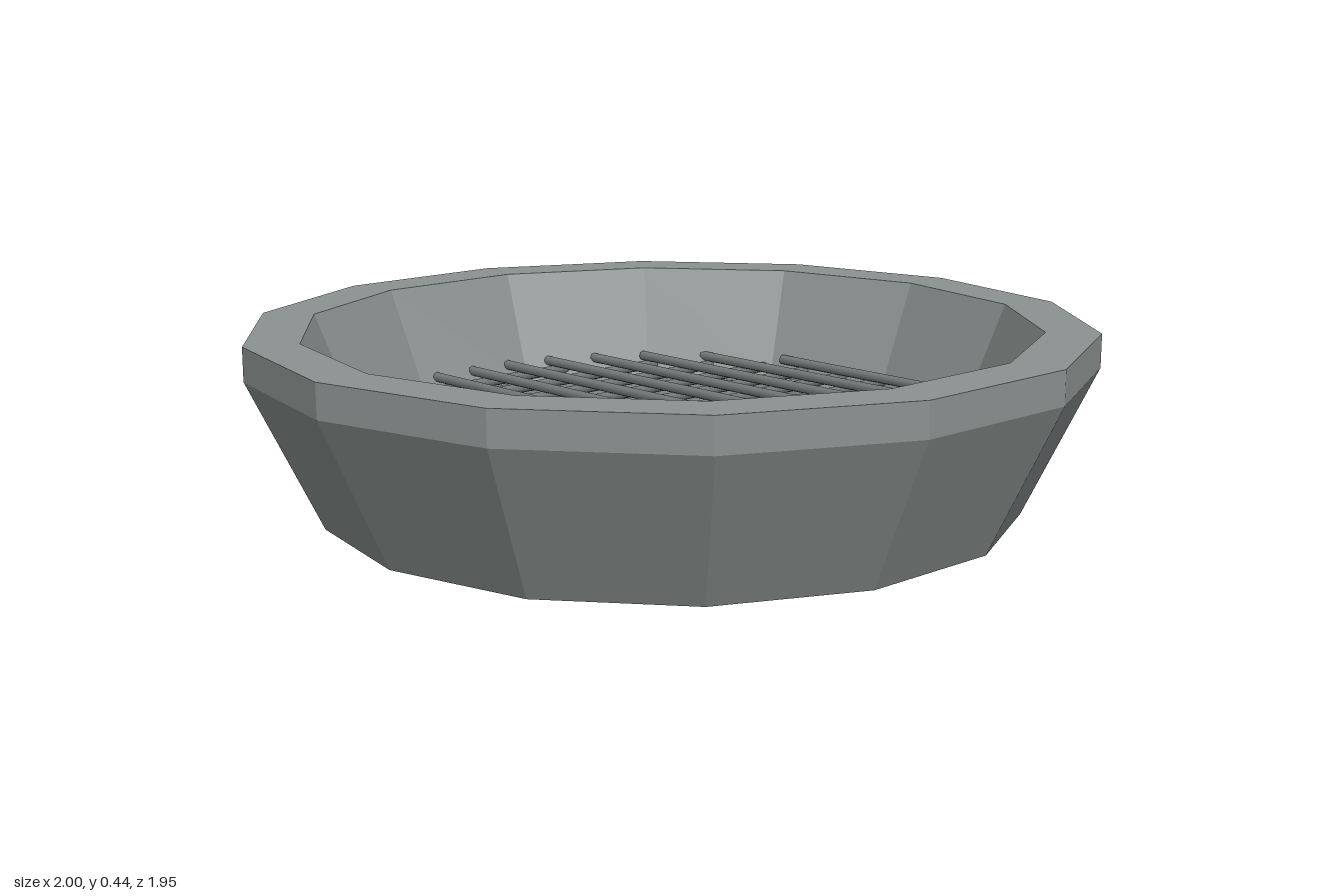
import * as THREE from 'three';

const SIDES = 14;
const BAR_STEP = 0.118;
const BAR_RADIUS = 0.013;
const GRILLE_RADIUS = 0.772;

// Faceted geometry with one normal per face
function faceted(geometry) {
  const flat = geometry.toNonIndexed();
  flat.computeVertexNormals();
  return flat;
}

export function createModel() {
  const model = new THREE.Group();
  model.name = 'bowlWithGrille';

  const stone = new THREE.MeshStandardMaterial({ color: 0x8b9291 });
  stone.name = 'bowl grey';
  const iron = new THREE.MeshStandardMaterial({ color: 0x737a79 });
  iron.name = 'grille grey';

  // Bowl: closed cross-section with a flared wall, flat rim and inner ledge
  const profile = [
    [0.7, 0], [0.83, 0], [1, 0.355], [1, 0.435],
    [0.872, 0.435], [0.76, 0.16], [0.7, 0.16], [0.7, 0],
  ].map(([r, y]) => new THREE.Vector2(r, y));
  const bowl = new THREE.Mesh(
    faceted(new THREE.LatheGeometry(profile, SIDES, Math.PI / 2)), stone);
  bowl.name = 'bowl';
  model.add(bowl);

  // Grille: two crossed layers of round bars trimmed to a circle
  const grille = new THREE.Group();
  grille.name = 'grille';
  for (let i = -6; i <= 6; i++) {
    const offset = i * BAR_STEP;
    const length = 2 * Math.sqrt(GRILLE_RADIUS ** 2 - offset ** 2);
    const bar = new THREE.CylinderGeometry(BAR_RADIUS, BAR_RADIUS, length, 8);

    const crossBar = new THREE.Mesh(bar, iron);
    crossBar.name = 'crossBar';
    crossBar.rotation.z = Math.PI / 2;
    crossBar.position.set(0, 0.185, offset);

    const longBar = new THREE.Mesh(bar, iron);
    longBar.name = 'longBar';
    longBar.rotation.x = Math.PI / 2;
    longBar.position.set(offset, 0.208, 0);

    grille.add(crossBar, longBar);
  }
  model.add(grille);

  return model;
}
